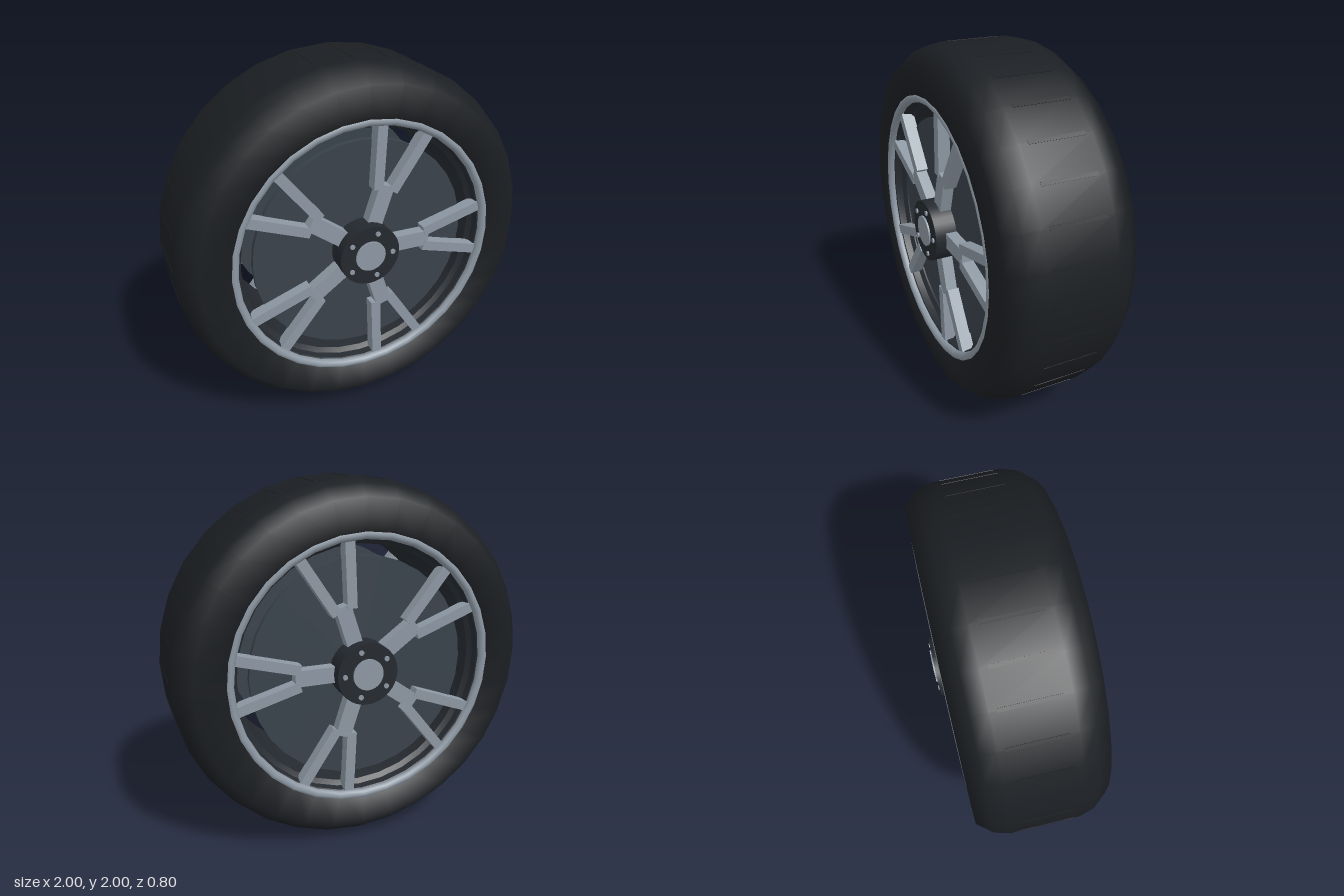
import * as THREE from 'three';
import { toCreasedNormals } from 'three/addons/utils/BufferGeometryUtils.js';

const SEGMENTS = 32;
const mat = (color, side = THREE.FrontSide) => new THREE.MeshStandardMaterial({ color, side });

function add(parent, name, geometry, material) {
  const mesh = new THREE.Mesh(geometry, material);
  mesh.name = name;
  parent.add(mesh);
  return mesh;
}

// Surface of revolution around the z axle, from [radius, z] pairs
function revolve(profile) {
  const points = profile.map(([r, z]) => new THREE.Vector2(r, z));
  return new THREE.LatheGeometry(points, SEGMENTS).rotateX(Math.PI / 2);
}

// Solid disc around the z axle between two depths
function disc(radius, z0, z1, sides = SEGMENTS) {
  const g = new THREE.CylinderGeometry(radius, radius, z1 - z0, sides);
  return g.rotateX(Math.PI / 2).translate(0, 0, (z0 + z1) / 2);
}

export function createModel() {
  const model = new THREE.Group();
  model.name = 'wheel';
  const wheel = new THREE.Group();
  wheel.name = 'wheelAssembly';
  wheel.position.y = 1;
  model.add(wheel);

  const rubber = mat(0x1b1e22, THREE.DoubleSide);
  const metal = mat(0x8d98a3);
  const dark = mat(0x24292f);
  const barrelMat = mat(0x262b31, THREE.DoubleSide);
  const discMat = mat(0x39424b);

  // Tire: half profile mirrored across z = 0
  const half = [[0.71, 0.22], [0.72, 0.355], [0.91, 0.355], [0.975, 0.275], [0.999, 0.19]];
  const tireProfile = [
    ...half.map(([r, z]) => [r, -z]),
    ...half.slice().reverse(),
  ];
  add(wheel, 'tire', revolve(tireProfile), rubber);

  // Thin tread bars, barely raised above the running surface
  const tread = new THREE.Group();
  tread.name = 'tread';
  wheel.add(tread);
  for (let i = 0; i < SEGMENTS; i++) {
    const a = (i / SEGMENTS) * Math.PI * 2;
    const bar = add(tread, 'treadBar', new THREE.BoxGeometry(0.02, 0.03, 0.3), rubber);
    bar.position.set(Math.cos(a) * 0.985, Math.sin(a) * 0.985, 0);
    bar.rotation.z = a - Math.PI / 2;
  }

  // Rim barrel with a stepped lip at both ends
  const barrel = [[0.72, -0.335], [0.7, -0.32], [0.695, -0.28], [0.67, -0.26],
    [0.67, 0.26], [0.695, 0.28], [0.7, 0.32], [0.72, 0.335]];
  add(wheel, 'rimBarrel', toCreasedNormals(revolve(barrel), 0.6), barrelMat);

  // The two faces of the wheel are mirror images
  for (const side of [1, -1]) {
    const face = new THREE.Group();
    face.name = side > 0 ? 'frontFace' : 'backFace';
    face.scale.z = side;
    wheel.add(face);

    const ring = add(face, 'rimRing', new THREE.TorusGeometry(0.727, 0.026, 8, SEGMENTS), metal);
    ring.position.z = 0.335;

    add(face, 'innerDisc', disc(0.61, 0.24, 0.27), discMat);
    add(face, 'hub', disc(0.17, 0.26, 0.39), dark);
    add(face, 'hubCap', disc(0.085, 0.38, 0.4), metal);

    // Five forked spokes, each with a bolt in line on the hub
    for (let i = 0; i < 5; i++) {
      const spoke = new THREE.Group();
      spoke.name = 'spoke';
      spoke.rotation.z = (i / 5) * Math.PI * 2;
      face.add(spoke);

      const stem = add(spoke, 'spokeStem', new THREE.BoxGeometry(0.27, 0.088, 0.065), metal);
      stem.position.set(0.245, 0, 0.3);

      for (const s of [1, -1]) {
        const prong = add(spoke, 'spokeProng', new THREE.BoxGeometry(0.35, 0.055, 0.07), metal);
        prong.position.set(0.52, s * 0.091, 0.3);
        prong.rotation.z = s * 0.27;
      }

      const bolt = add(spoke, 'bolt', disc(0.014, 0.38, 0.398, 10), metal);
      bolt.position.x = 0.13;
    }
  }
  return model;
}
